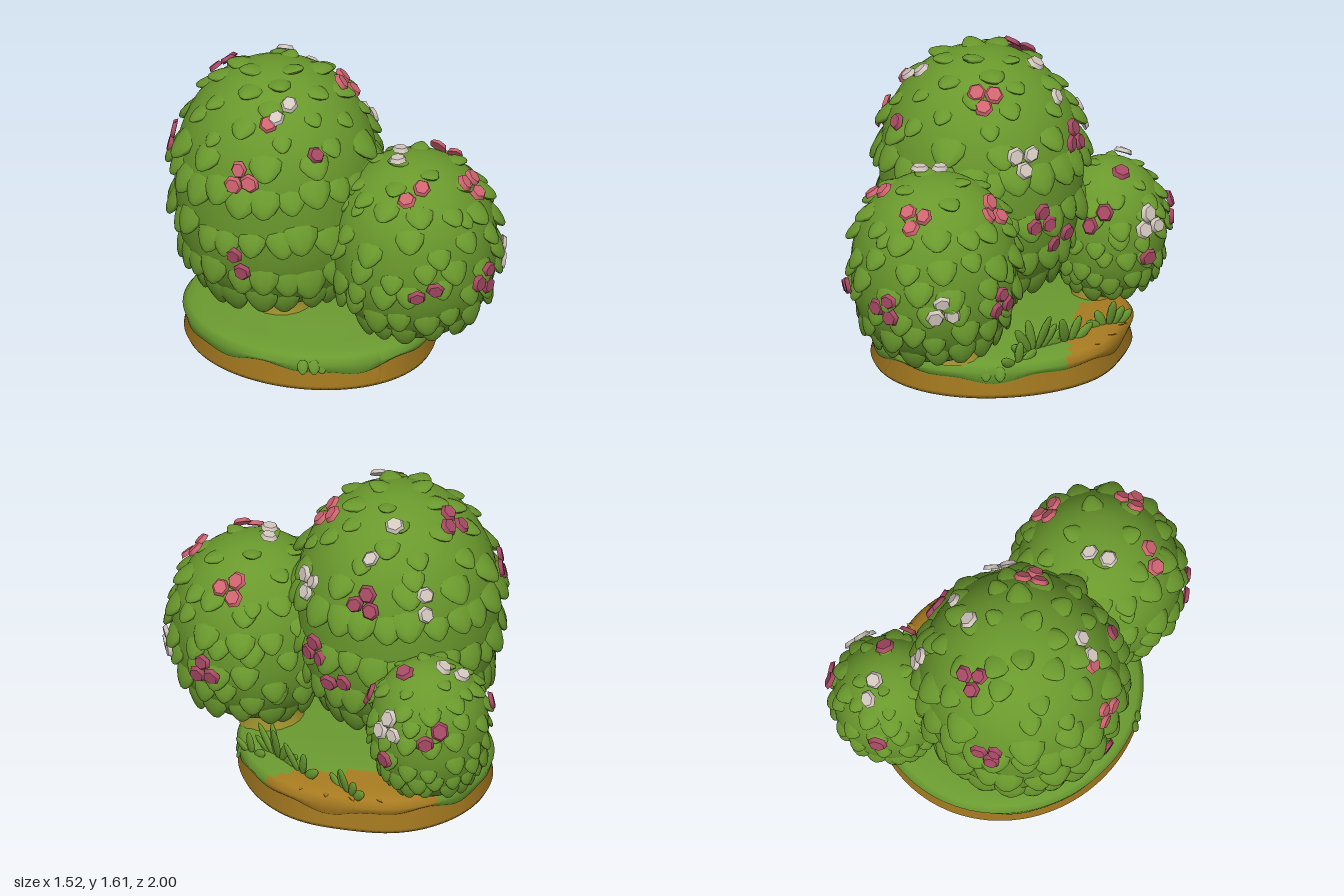
import * as THREE from 'three';
import { mergeGeometries, mergeVertices } from 'three/addons/utils/BufferGeometryUtils.js';

const mat = (name, color) => Object.assign(new THREE.MeshStandardMaterial({ color }), { name });

// Bush volumes: centre, radius, heights above and below the widest line, roundness;
// leaf rows as [height, spacing in leaf widths]; sparse crown leaves
const BUSHES = [
  { name: 'largeBush', c: [-0.185, 0.97, -0.05], R: 0.525, up: 0.625, low: 0.67, nu: 2.15, nl: 2.7, leaf: 0.165, jitter: 0.04,
    rows: [[1.22, 1.9], [1.07, 0.8], [0.82, 0.8], [0.58, 0.8], [0.42, 0.85]], scatter: 30 },
  { name: 'mediumBush', c: [0.29, 0.7, 0.54], R: 0.43, up: 0.5, low: 0.49, nu: 2.2, nl: 2.25, leaf: 0.135, jitter: 0.12,
    rows: [[1.0, 1.3], [0.86, 1.3], [0.72, 1.3], [0.58, 1.15], [0.45, 1], [0.33, 0.95]], scatter: 16 },
  { name: 'smallBush', c: [0.06, 0.58, -0.66], R: 0.305, up: 0.355, low: 0.39, nu: 2.1, nl: 2.25, leaf: 0.1, jitter: 0.14,
    rows: [[0.8, 1.6], [0.68, 1.4], [0.57, 1.3], [0.46, 1.15], [0.37, 1], [0.28, 0.95]], scatter: 14 },
];

// Flower clusters: bush index, colour, number of petals, approximate position
const FLOWERS = [
  [0, 'pink', 1, -0.42, 1.46, 0.27], [0, 'white', 2, -0.33, 1.5, 0.26], [0, 'pink', 3, 0.13, 1.5, 0.13],
  [0, 'magenta', 1, -0.23, 1.29, 0.42], [0, 'pink', 3, -0.59, 1.18, 0.28], [0, 'magenta', 2, -0.61, 0.68, 0.28],
  [0, 'white', 3, 0.33, 1.19, 0.02], [0, 'magenta', 3, 0.24, 1.2, -0.34], [0, 'white', 1, 0.15, 1.4, -0.28],
  [0, 'white', 2, -0.02, 1.18, -0.5], [0, 'magenta', 3, 0.32, 0.84, -0.07], [0, 'magenta', 2, 0.3, 0.7, -0.2],
  [0, 'magenta', 3, -0.3, 1.46, -0.33], [0, 'magenta', 3, -0.58, 1.15, -0.35], [0, 'white', 1, -0.02, 1.5, -0.25],
  [1, 'pink', 2, 0.15, 1.12, 0.78], [1, 'pink', 3, 0.48, 1.09, 0.78], [1, 'magenta', 2, 0.12, 0.63, 0.95],
  [1, 'magenta', 3, 0.46, 0.63, 0.93], [1, 'white', 3, 0.67, 0.64, 0.73], [1, 'pink', 3, 0.57, 1.07, 0.37],
  [1, 'magenta', 3, 0.72, 0.62, 0.4], [1, 'white', 2, 0.22, 1.18, 0.52],
  [2, 'magenta', 2, 0.27, 0.72, -0.47], [2, 'white', 3, 0.37, 0.68, -0.72], [2, 'magenta', 1, 0.2, 0.9, -0.65],
  [2, 'magenta', 2, 0.22, 0.66, -0.9], [2, 'magenta', 1, 0.34, 0.5, -0.7], [2, 'white', 2, 0.01, 0.92, -0.79],
  [2, 'magenta', 1, -0.2, 0.7, -0.83],
];

function seeded(seed) {
  return () => {
    seed = (seed * 16807) % 2147483647;
    return seed / 2147483647;
  };
}

// Point on a bush for a heading a and an elevation e
function surface(b, a, e) {
  const s = Math.sin(e), c = Math.max(Math.cos(e), 0), n = s > 0 ? b.nu : b.nl;
  const k = Math.pow(Math.pow(c, n) + Math.pow(Math.abs(s), n), -1 / n);
  const r = b.R * c * k, y = (s > 0 ? b.up : b.low) * s * k;
  return new THREE.Vector3(b.c[0] + r * Math.sin(a), b.c[1] + y, b.c[2] + r * Math.cos(a));
}

// Matrix with y up along the surface and z pointing out of it
function frame(b, a, e) {
  const p = surface(b, a, e);
  const up = surface(b, a, e + 0.01).sub(surface(b, a, e - 0.01)).normalize();
  const side = new THREE.Vector3(Math.cos(a), 0, -Math.sin(a));
  const out = new THREE.Vector3().crossVectors(side, up);
  return new THREE.Matrix4().makeBasis(side, up, out).setPosition(p);
}

// Elevation of a given height
function elevation(b, y) {
  const h = y - b.c[1], n = h > 0 ? b.nu : b.nl;
  const t = Math.min(Math.abs(h) / (h > 0 ? b.up : b.low), 0.98);
  return Math.sign(h) * Math.atan2(t, Math.pow(1 - Math.pow(t, n), 1 / n));
}

// Tongue-shaped leaf: the root sinks into the bush and the pointed tip lifts away
function leafGeometry(w, l, tilt) {
  const g = new THREE.SphereGeometry(1, 9, 7);
  const p = g.attributes.position;
  for (let i = 0; i < p.count; i++) {
    const y = p.getY(i);
    p.setXYZ(i, p.getX(i) * w * 0.55 * (y < 0 ? 1 + 0.3 * y : 1), (y * 0.5 + 0.1) * l, p.getZ(i) * w * 0.2);
  }
  g.computeVertexNormals();
  return g.rotateX(-tilt);
}

function bushBody(b) {
  let g = new THREE.SphereGeometry(1, 40, 28);
  const p = g.attributes.position;
  for (let i = 0; i < p.count; i++) {
    const v = surface(b, Math.atan2(p.getX(i), p.getZ(i)), Math.asin(THREE.MathUtils.clamp(p.getY(i), -1, 1)));
    p.setXYZ(i, v.x, v.y, v.z);
  }
  g.deleteAttribute('uv');
  g.deleteAttribute('normal');
  g = mergeVertices(g, 1e-4);
  g.computeVertexNormals();
  return g;
}

function bushLeaves(b, rnd) {
  const parts = [];
  const add = (a, e, w, l, tilt) => parts.push(leafGeometry(w, l, tilt).applyMatrix4(frame(b, a, e)));
  // Scalloped rows
  b.rows.forEach(([y, spacing], row) => {
    const e = elevation(b, y);
    const n = Math.round((2 * Math.PI * (surface(b, 0, e).z - b.c[2])) / (b.leaf * spacing));
    for (let i = 0; i < n; i++) {
      const a = ((i + row * 0.5 + (rnd() - 0.5) * 0.35) / n) * Math.PI * 2;
      const s = b.leaf * (0.85 + rnd() * 0.3);
      add(a, e + (rnd() - 0.5) * 2 * b.jitter, s, s * 1.25, 0.5);
    }
  });
  // Sparse tips on the crown
  for (let i = 0; i < b.scatter; i++) {
    const e = Math.asin(0.5 + 0.49 * (i + 0.5) / b.scatter);
    const s = b.leaf * (0.55 + rnd() * 0.3);
    add(i * 2.39996 + rnd() * 0.3, e, s, s * 1.3, 0.45);
  }
  return mergeGeometries(parts);
}

// Small faceted petals grouped around one point
function flowerCluster(b, count, x, y, z, rnd) {
  const dx = x - b.c[0], dy = y - b.c[1], dz = z - b.c[2];
  const e = Math.atan2(dy / (dy > 0 ? b.up : b.low), Math.hypot(dx, dz) / b.R);
  const m = frame(b, Math.atan2(dx, dz), e), parts = [], turn = rnd() * 6;
  for (let i = 0; i < count; i++) {
    const g = new THREE.CylinderGeometry(0.038, 0.05, 0.022, 6).rotateX(Math.PI / 2);
    g.scale(1, 0.8 + rnd() * 0.3, 1).rotateX((rnd() - 0.5) * 0.4).rotateZ(rnd() * 3);
    const r = count > 1 ? 0.052 : 0, t = turn + (i / count) * Math.PI * 2;
    g.translate(r * Math.cos(t), r * Math.sin(t), 0.03);
    parts.push(g.applyMatrix4(m));
  }
  return mergeGeometries(parts);
}

// Oval mound from rings; the grass lip waves and a bare patch lies at the back left
function moundGeometry() {
  const rings = [[0, 0], [0.99, 0], [1.01, 0.025], [0.98, 0.1], [1.0, 0.11], [1.02, 0.15], [0.98, 0.185],
    [0.9, 0.2], [0.8, 0.207], [0.7, 0.214], [0.6, 0.222], [0.5, 0.23], [0.3, 0.238], [0, 0.24]];
  const N = 96, pos = [], soil = [], grass = [];
  rings.forEach(([s, y], i) => {
    for (let j = 0; j <= N; j++) {
      const a = (j / N) * Math.PI * 2;
      const wave = i === 3 || i === 4 ? 0.016 * Math.sin(a * 5) + 0.01 * Math.sin(a * 11) : 0;
      const k = s * (1 + 0.012 * Math.sin(a * 3 + 1) - 0.05 * Math.exp(-Math.pow((a - 2.3) / 0.35, 2)));
      pos.push(0.02 + 0.625 * k * Math.sin(a), y + wave, -0.045 + 0.69 * k * Math.cos(a));
    }
  });
  for (let i = 0; i < rings.length - 1; i++) for (let j = 0; j < N; j++) {
    const p = i * (N + 1) + j, q = p + N + 1;
    const x = pos[p * 3], z = pos[p * 3 + 2];
    const bare = i < 3 || (x > 0.08 && x - z > 0.68);
    (bare ? soil : grass).push(p, p + 1, q + 1, p, q + 1, q);
  }
  const g = new THREE.BufferGeometry();
  g.setAttribute('position', new THREE.Float32BufferAttribute(pos, 3));
  g.setIndex([...soil, ...grass]);
  g.addGroup(0, soil.length, 0);
  g.addGroup(soil.length, grass.length, 1);
  g.computeVertexNormals();
  return g;
}

// Fan of broad flattened blades
function grassTuft(x, y, z, n, h, spread) {
  const parts = [];
  for (let i = 0; i < n; i++) {
    const t = i / (n - 1) - 0.5;
    const len = h * (1 - Math.abs(t) * 0.7) * (i % 2 ? 0.85 : 1);
    const g = new THREE.SphereGeometry(1, 7, 6).scale(0.015, len / 2, 0.028).translate(0, len / 2, 0);
    parts.push(g.rotateX(t * 1.9).rotateZ(-0.15 * (i % 3)).translate(x, y, z + t * spread));
  }
  return mergeGeometries(parts);
}

export function createModel() {
  const group = new THREE.Group(), rnd = seeded(71);
  const M = {
    leaf: mat('leafGreen', 0x6a992d), grass: mat('grassGreen', 0x6a9a30), soil: mat('soilBrown', 0xa67a20),
    trunk: mat('trunkOlive', 0x988a2a), pink: mat('pinkPetal', 0xd06470),
    magenta: mat('magentaPetal', 0xa84a64), white: mat('whitePetal', 0xd3c8bf),
  };
  const add = (name, geo, material, parent = group) => {
    const mesh = new THREE.Mesh(geo, material);
    mesh.name = name;
    parent.add(mesh);
  };

  add('mound', moundGeometry(), [M.soil, M.grass]);
  // Ragged soil ridges along the bare patch
  for (let i = 0; i < 4; i++) {
    const a = THREE.MathUtils.degToRad(106 + i * 13);
    const g = new THREE.ConeGeometry(0.09, 0.24, 6).scale(1, 1, 0.35).rotateX(Math.PI / 2 - 0.08).rotateY(a + 0.35);
    add('soilRidge', g.translate(0.02 + 0.51 * Math.sin(a), 0.18, -0.045 + 0.58 * Math.cos(a)), M.soil);
  }

  // Short trunks with flared feet
  for (const [x, z, r, top] of [[-0.16, -0.02, 0.135, 0.45], [0.27, 0.4, 0.13, 0.4], [0.07, -0.55, 0.08, 0.35]]) {
    const pts = [[r * 1.4, 0.18], [r * 1.1, 0.245], [r, 0.3], [r, top]].map(p => new THREE.Vector2(...p));
    add('trunk', new THREE.LatheGeometry(pts, 16).translate(x, 0, z), M.trunk);
  }

  for (const b of BUSHES) {
    const bush = new THREE.Group();
    bush.name = b.name;
    group.add(bush);
    add('foliage', bushBody(b), M.leaf, bush);
    add('leaves', bushLeaves(b, rnd), M.leaf, bush);
  }
  for (const [i, colour, n, x, y, z] of FLOWERS)
    add(colour + 'Flowers', flowerCluster(BUSHES[i], n, x, y, z, rnd), M[colour]);

  // Grass along the left side, and small clumps on the rim
  for (const t of [[0.5, 0.19, 0.06, 6, 0.24, 0.1], [0.5, 0.19, -0.14, 4, 0.21, 0.08],
    [0.42, 0.18, -0.44, 5, 0.17, 0.1], [0.56, 0.17, 0.2, 3, 0.16, 0.05]])
    add('grassTuft', grassTuft(...t), M.grass);
  for (const [x, z] of [[-0.36, 0.52], [-0.31, 0.55], [-0.27, 0.56], [0.52, 0.37], [0.56, 0.31]])
    add('rimLeaf', leafGeometry(0.055, 0.08, 0.3).rotateY(Math.atan2(x, z)).translate(x, 0.13, z), M.grass);
  return group;
}
